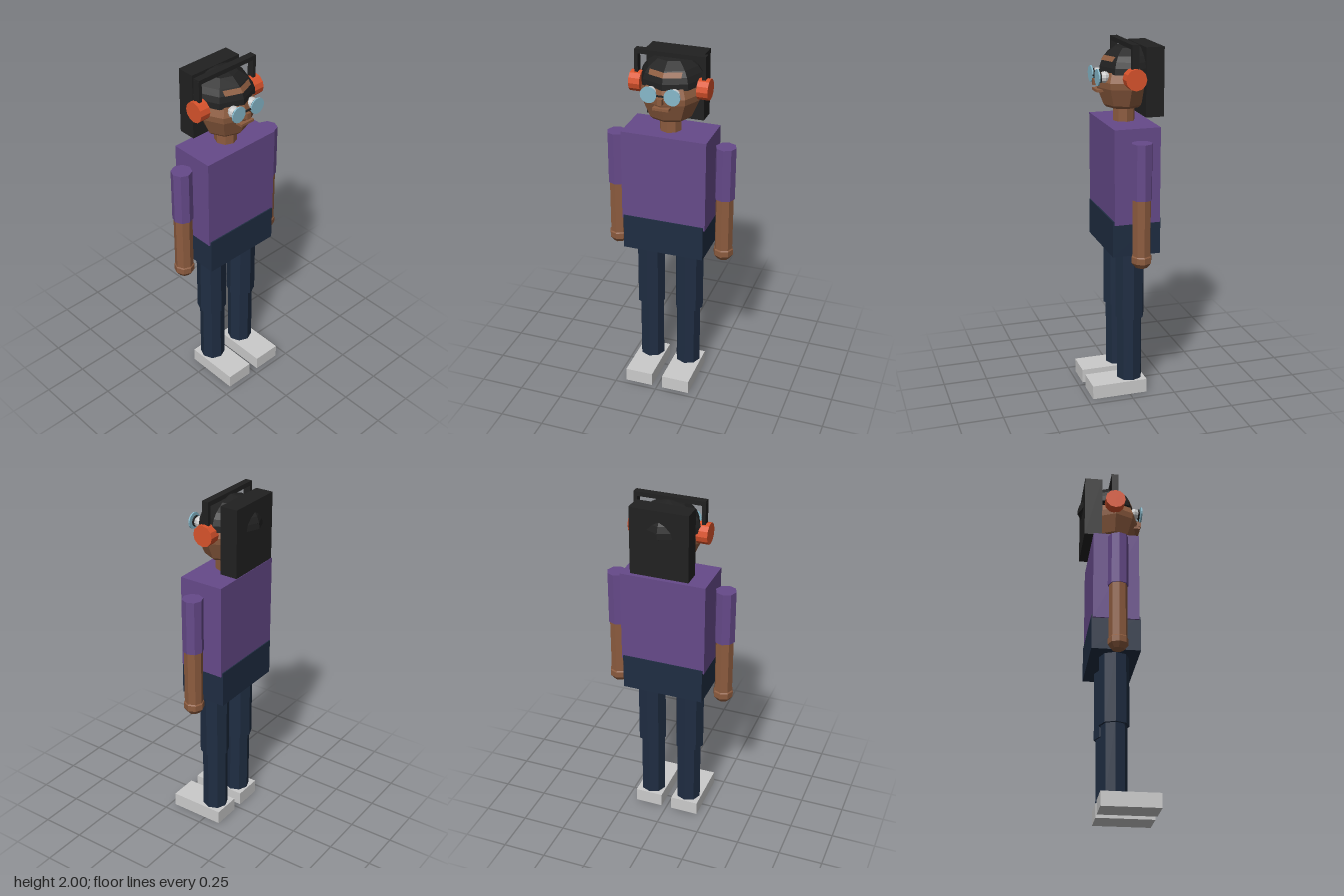
import * as THREE from 'three';

const mat = (name, color, extra = {}) => {
  const m = new THREE.MeshStandardMaterial({ color, flatShading: true, ...extra });
  m.name = name;
  return m;
};

export function createModel() {
  const skin = mat('skin', 0x8d5c3f);
  const skinPatch = mat('skin patch', 0x8d5c3f, { side: THREE.DoubleSide });
  const purple = mat('purple shirt', 0x664a8a);
  const navy = mat('navy trousers', 0x1f2d42);
  const grey = mat('pale grey', 0xcbcbcb);
  const black = mat('black', 0x212121);
  const orange = mat('orange', 0xd9532c);
  const blue = mat('lens blue', 0x87b9cb);

  const model = new THREE.Group();
  model.name = 'figure';

  const add = (name, geo, material, x = 0, y = 0, z = 0) => {
    const mesh = new THREE.Mesh(geo, material);
    mesh.name = name;
    mesh.position.set(x, y, z);
    model.add(mesh);
    return mesh;
  };
  // Box given by its limits on each axis
  const box = (name, material, x0, x1, y0, y1, z0, z1) =>
    add(name, new THREE.BoxGeometry(x1 - x0, y1 - y0, z1 - z0), material,
      (x0 + x1) / 2, (y0 + y1) / 2, (z0 + z1) / 2);
  // Upright eight-sided limb between two heights
  const limb = (name, material, r, x, y0, y1, z) =>
    add(name, new THREE.CylinderGeometry(r, r, y1 - y0, 8), material, x, (y0 + y1) / 2, z);
  // Eight-sided dome from [width fraction, height] pairs
  const shell = (name, material, profile, rx, rz, zc) => {
    const pts = profile.map(([f, y]) => new THREE.Vector2(f, y));
    return add(name, new THREE.LatheGeometry(pts, 8).scale(rx, 1, rz), material, 0, 0, zc);
  };

  // Body
  box('torso', purple, -0.241, 0.241, 1.04, 1.566, -0.152, 0.105);
  box('hips', navy, -0.232, 0.232, 0.857, 1.06, -0.158, 0.112);
  limb('neck', skin, 0.061, 0, 1.56, 1.68, -0.022);

  // Head and hair
  shell('head', skin, [[0, 1.64], [0.62, 1.645], [0.72, 1.66], [0.97, 1.755], [1, 1.79],
    [0.87, 1.84], [0.7, 1.88], [0, 1.93]], 0.168, 0.15, -0.015);
  const hair = { rx: 0.176, rz: 0.168, zc: -0.054 };
  shell('hair', black, [[0, 1.83], [1.02, 1.835], [1, 1.868], [0.93, 1.9], [0.8, 1.93],
    [0.5, 1.967], [0, 1.988]], hair.rx, hair.rz, hair.zc);
  box('hairBack', black, -0.163, 0.163, 1.605, 1.98, -0.196, -0.095);
  const bump = new THREE.ConeGeometry(1, 0.028, 4).rotateX(-Math.PI / 2).scale(0.065, 0.046, 1);
  add('hairBump', bump, black, 0, 1.865, -0.209);

  // Forehead gap in the fringe, following the front two faces of the hair
  const strip = [];
  for (const [f, y] of [[0.93, 1.9], [0.822, 1.925]]) {
    const cx = hair.rx * f * Math.SQRT1_2;
    const front = hair.zc + hair.rz * f;
    const side = hair.zc + hair.rz * f * Math.SQRT1_2;
    for (const x of [-0.09, 0, 0.09]) {
      strip.push(x, y, front + (side - front) * Math.abs(x) / cx + 0.004);
    }
  }
  const gap = new THREE.BufferGeometry();
  gap.setAttribute('position', new THREE.Float32BufferAttribute(strip, 3));
  gap.setIndex([0, 1, 4, 0, 4, 3, 1, 2, 5, 1, 5, 4]);
  gap.computeVertexNormals();
  add('forehead', gap, skinPatch);

  // Nose, mouth and glasses bridge
  box('nose', skin, -0.012, 0.012, 1.768, 1.802, 0.12, 0.154);
  box('mouth', skin, -0.045, 0.045, 1.733, 1.747, 0.1, 0.144);
  box('glassesBridge', black, -0.024, 0.024, 1.812, 1.82, 0.14, 0.147);

  // Headphone band
  box('headband', black, -0.197, 0.197, 1.975, 2, -0.044, -0.005);

  for (const [side, s] of [['left', 1], ['right', -1]]) {
    const span = (name, material, x0, x1, ...rest) =>
      box(side + name, material, Math.min(s * x0, s * x1), Math.max(s * x0, s * x1), ...rest);

    // Headphones
    span('BandArm', black, 0.178, 0.198, 1.84, 1.99, -0.044, -0.005);
    add(side + 'Earcup', new THREE.CylinderGeometry(0.058, 0.058, 0.062, 12).rotateZ(Math.PI / 2),
      orange, s * 0.189, 1.819, -0.023);

    // Eye, pupil and lens
    add(side + 'Eye', new THREE.SphereGeometry(0.032, 8, 6), grey, s * 0.065, 1.817, 0.106);
    add(side + 'Pupil', new THREE.CylinderGeometry(0.03, 0.03, 0.008, 12).rotateX(Math.PI / 2),
      black, s * 0.065, 1.817, 0.132);
    add(side + 'Lens', new THREE.CylinderGeometry(0.045, 0.045, 0.008, 16).rotateX(Math.PI / 2),
      blue, s * 0.065, 1.817, 0.145);

    // Arm
    limb(side + 'Sleeve', purple, 0.057, s * 0.313, 1.2, 1.505, -0.023);
    limb(side + 'Forearm', skin, 0.051, s * 0.313, 0.88, 1.22, -0.023);
    add(side + 'Hand', new THREE.SphereGeometry(0.059, 8, 5).scale(1, 0.93, 1), skin,
      s * 0.313, 0.863, -0.023);

    // Leg
    limb(side + 'Thigh', navy, 0.083, s * 0.116, 0.46, 0.87, -0.02);
    limb(side + 'Shin', navy, 0.072, s * 0.112, 0.07, 0.47, -0.02);
    span('Shoe', grey, 0.031, 0.193, 0, 0.08, -0.1, 0.22);
  }

  return model;
}
